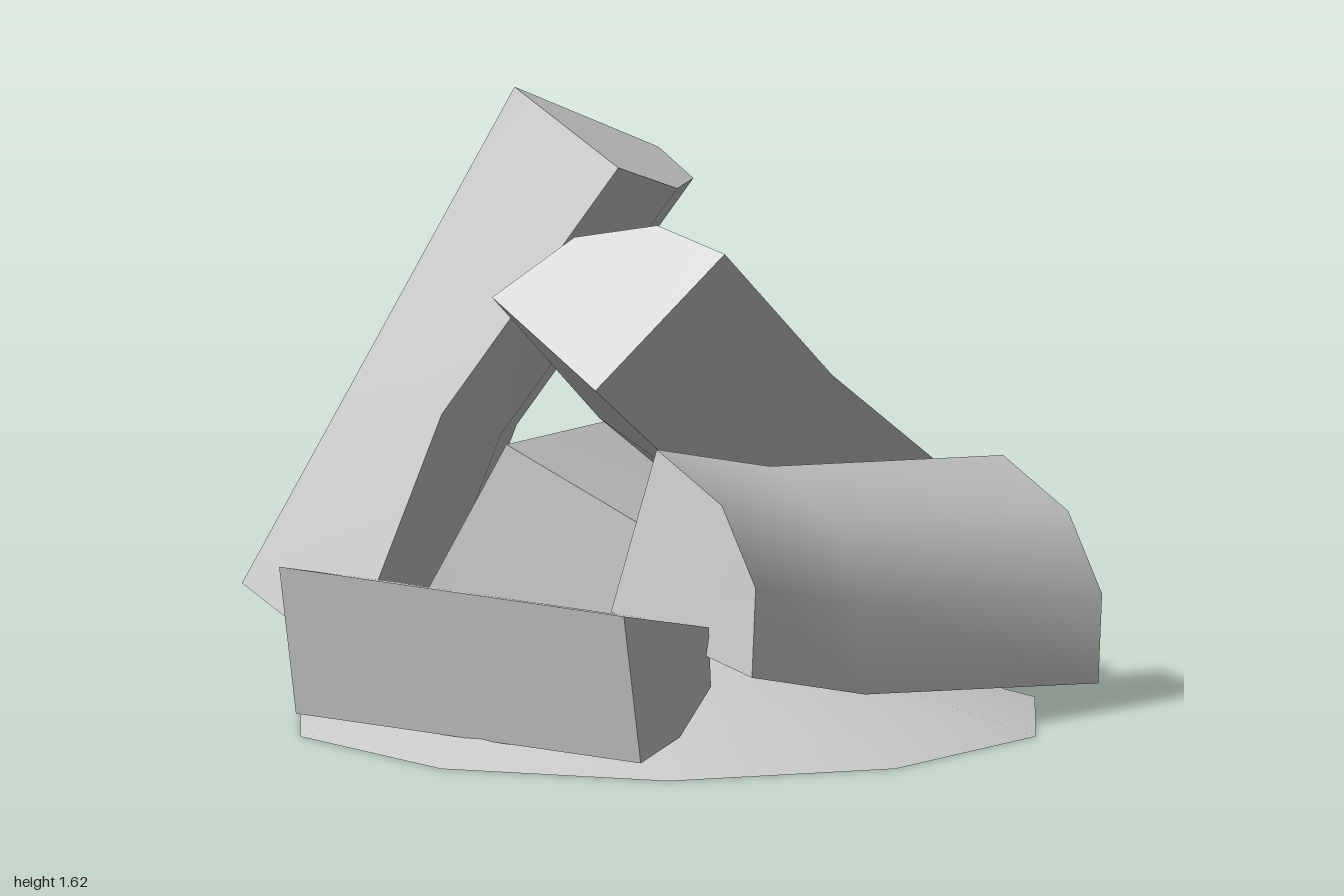
import * as THREE from 'three';
import { toCreasedNormals } from 'three/addons/utils/BufferGeometryUtils.js';

const grey = new THREE.MeshStandardMaterial({ color: 0xcccccc });
const greyOpen = new THREE.MeshStandardMaterial({ color: 0xcccccc, side: THREE.DoubleSide });

// Split log: a wedge-shaped end (split ridge first, then the bark arc) carried
// along an axis; the bark is shifted by "bend" at the fraction "t" of the length.
function splitLog(name, end, axis, t, bend) {
  const dir = new THREE.Vector3(...axis);
  const shift = new THREE.Vector3(...bend);
  let cap = end.map((p) => new THREE.Vector3(...p));
  const n = cap.length;

  // The first end must face away from the axis
  const a = cap[1].clone().sub(cap[0]);
  const b = cap[n - 1].clone().sub(cap[0]);
  if (a.cross(b).dot(dir) > 0) cap = [cap[0], ...cap.slice(1).reverse()];

  const rings = [0, t, 1].map((f, r) => cap.map((p, i) => {
    const q = p.clone().addScaledVector(dir, f);
    return r === 1 && i > 0 ? q.add(shift) : q;
  }));

  const pos = [];
  const tri = (...pts) => pts.forEach((p) => pos.push(p.x, p.y, p.z));
  for (let r = 0; r < 2; r++) {
    for (let i = 0; i < n; i++) {
      const j = (i + 1) % n;
      const [p, q, u, v] = [rings[r][i], rings[r][j], rings[r + 1][i], rings[r + 1][j]];
      tri(p, u, q);
      tri(q, u, v);
    }
  }
  for (let i = 1; i < n - 1; i++) {
    tri(rings[0][0], rings[0][i], rings[0][i + 1]);
    tri(rings[2][0], rings[2][i + 1], rings[2][i]);
  }
  const geo = new THREE.BufferGeometry();
  geo.setAttribute('position', new THREE.Float32BufferAttribute(pos, 3));
  const mesh = new THREE.Mesh(toCreasedNormals(geo, 0.9), grey);
  mesh.name = name;
  return mesh;
}

export function createModel() {
  const group = new THREE.Group();
  group.name = 'firewoodPile';

  // Low ash mound, open underneath
  const profile = [[1, 0], [0.5, 0.15], [0, 0.2]].map((p) => new THREE.Vector2(...p));
  const mound = new THREE.Mesh(new THREE.LatheGeometry(profile, 10, Math.PI / 2), greyOpen);
  mound.name = 'ashMound';
  group.add(mound);

  group.add(
    // Tall log leaning forward from the back
    splitLog('backLeaningLog', [
      [-0.07, 1.62, -0.44], [0.40, 1.41, -0.32], [0.25, 1.37, -0.10],
      [0.0, 1.39, 0.03], [-0.26, 1.48, 0.03],
    ], [-0.43, -1.30, -0.56], 0.5, [-0.04, 0, -0.10]),

    // Log lying across the front
    splitLog('frontLog', [
      [0.78, 0.19, 0.36], [0.74, 0.07, 0.84], [0.77, 0.30, 0.83],
      [0.80, 0.50, 0.70], [0.83, 0.62, 0.47],
    ], [-1.39, 0.195, -0.10], 0.6, [-0.03, -0.04, -0.06]),

    // Log sloping down over the front log
    splitLog('slopingLog', [
      [-0.61, 0.96, 0.21], [-0.37, 1.31, 0.45], [-0.35, 1.36, 0.22],
      [-0.385, 1.31, -0.02], [-0.50, 1.15, -0.20],
    ], [1.31, -0.87, -0.065], 0.4, [-0.07, -0.03, 0.04]),

    // Short log on the right side, pointing front to back
    splitLog('rightLog', [
      [-0.96, 0.45, 0.555], [-0.865, 0.05, 0.54], [-0.72, 0.10, 0.56],
      [-0.61, 0.22, 0.58], [-0.635, 0.38, 0.59],
    ], [0.10, 0, -1.175], 0.5, [0, 0, 0]),

    // Log at the back left, resting its bark on the mound
    splitLog('backLeftLog', [
      [0.825, 0.615, -0.69], [0.69, 0.13, -0.91], [0.80, 0.06, -0.635],
      [0.90, 0.14, -0.385], [0.995, 0.34, -0.20],
    ], [-1.31, 0.15, 0.525], 0.5, [0, 0.03, 0]),
  );
  return group;
}
